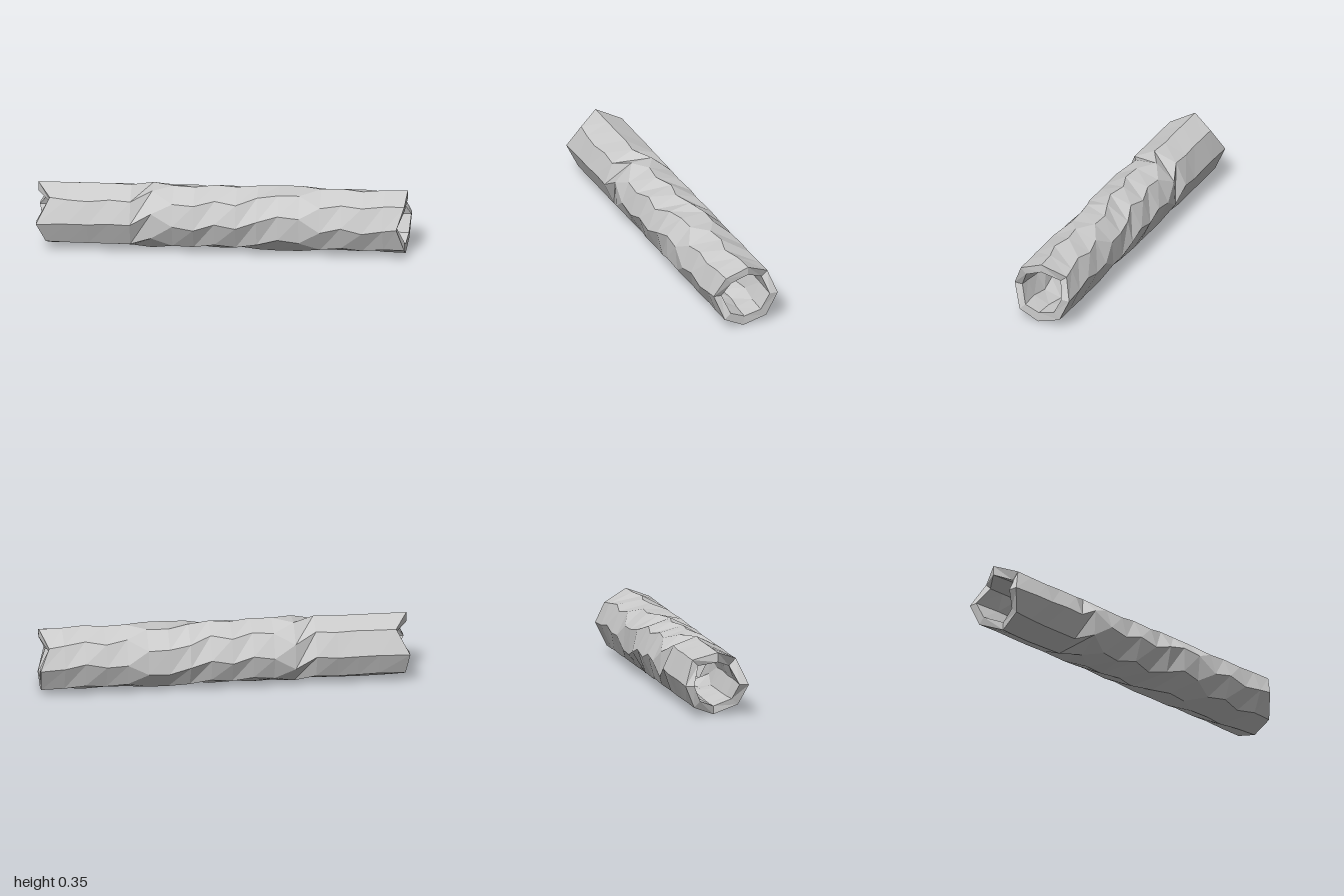
import * as THREE from 'three';

const SIDES = 8, RINGS = 18, OUTER = 0.175, INNER = 0.125;

// twist of each ring along the log, in degrees
const TWIST = [0, -2, -2, -1, -2, 20, -3, -7, 3, -4, 10, 20, 17, -3, 2, -6, 2, 4];
// ragged x positions of the two broken ends, from the front round over the top
const LEFT_END = [-1, -0.93, -1, -0.93, -1, -0.98, -0.92, -0.95];
const RIGHT_END = [0.94, 0.98, 0.99, 0.95, 1, 0.99, 0.98, 0.98];

function seeded(seed) {
  return () => {
    seed = (seed * 16807) % 2147483647;
    return seed / 2147483647 - 0.5;
  };
}

// one point of the bark (or of the hollow) at a ring and a side
function ringPoint(ring, side, radius, wobble) {
  let x = -0.95 + ring * 0.1135;
  if (ring === 0) x = LEFT_END[side];
  if (ring === RINGS - 1) x = RIGHT_END[side];
  const a = THREE.MathUtils.degToRad(side * 45 + TWIST[ring] + wobble);
  return [x, OUTER + radius * Math.sin(a), radius * Math.cos(a)];
}

export function createModel() {
  const random = seeded(7);
  const positions = [], index = [];

  // rows run along the outside to the right, then back through the hollow
  const rows = RINGS * 2;
  const wobbles = Array.from({ length: RINGS * SIDES }, () => random() * 5);
  for (let row = 0; row < rows; row++) {
    const outside = row < RINGS;
    const ring = outside ? row : rows - 1 - row;
    for (let side = 0; side < SIDES; side++) {
      const radius = outside ? OUTER : INNER + random() * 0.012;
      positions.push(...ringPoint(ring, side, radius, wobbles[ring * SIDES + side]));
    }
  }

  // join neighbouring rows; the last row closes onto the first as the left rim
  for (let row = 0; row < rows; row++) {
    const next = (row + 1) % rows;
    for (let side = 0; side < SIDES; side++) {
      const up = (side + 1) % SIDES;
      const a = row * SIDES + side, b = next * SIDES + side;
      const c = next * SIDES + up, d = row * SIDES + up;
      index.push(a, b, c, a, c, d);
    }
  }

  const indexed = new THREE.BufferGeometry();
  indexed.setAttribute('position', new THREE.Float32BufferAttribute(positions, 3));
  indexed.setIndex(index);
  const geometry = indexed.toNonIndexed();
  geometry.computeVertexNormals();

  const log = new THREE.Mesh(
    geometry,
    new THREE.MeshStandardMaterial({ color: 0xcccccc, flatShading: true })
  );
  log.name = 'hollowLog';

  const model = new THREE.Group();
  model.name = 'fallenLog';
  model.add(log);
  return model;
}
